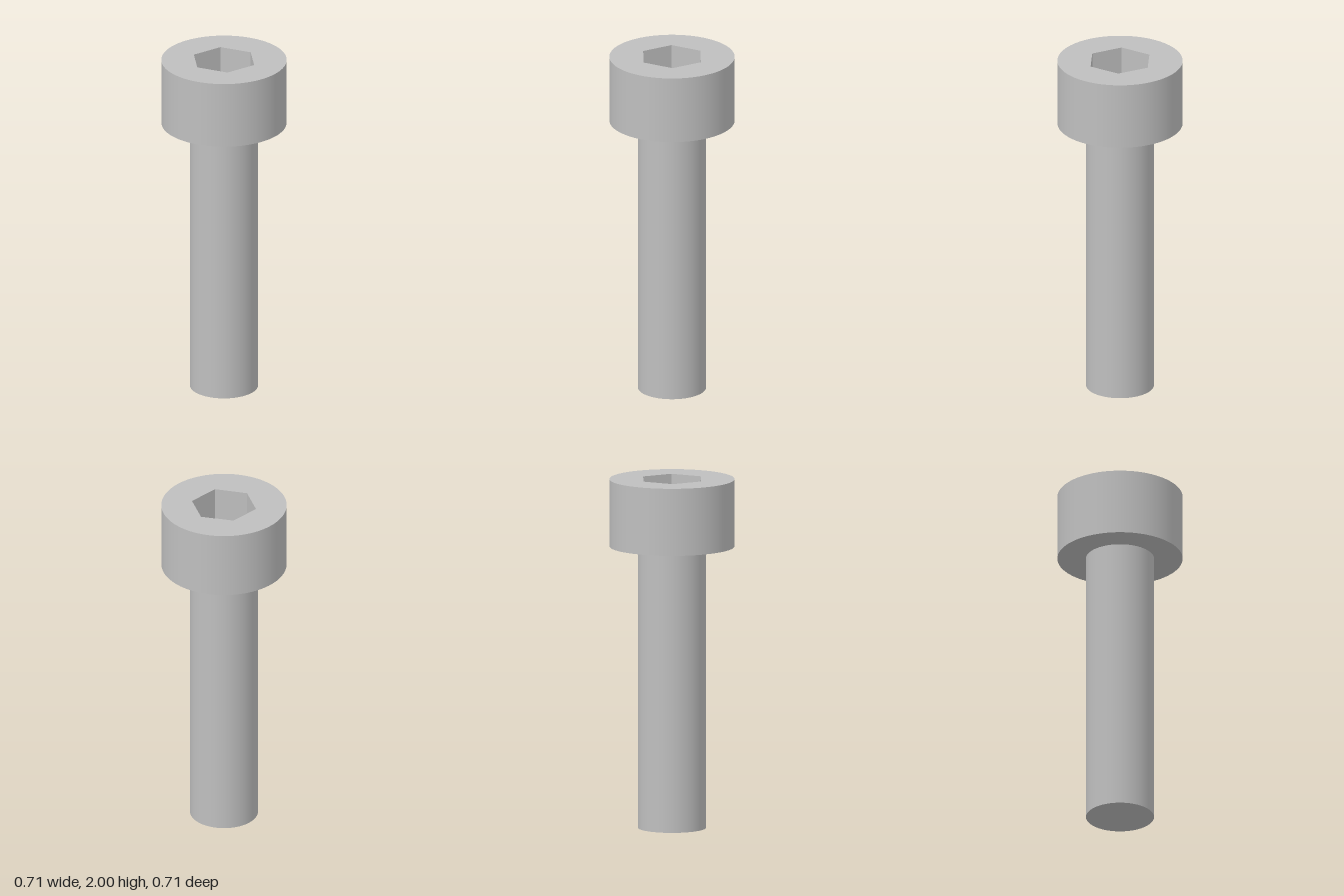
import * as THREE from 'three';

const HEIGHT = 2, HEAD_BASE = 1.615, HEAD_R = 0.355, SHANK_R = 0.193;
const HEX_R = 0.187, SOCKET_DEPTH = 0.19, SIDES = 96;

export function createModel() {
  const group = new THREE.Group();
  const steel = new THREE.MeshStandardMaterial({ color: 0xbfbfbf });
  steel.name = 'steel grey';

  const add = (parent, name, geometry, y) => {
    const mesh = new THREE.Mesh(geometry, steel);
    mesh.name = name;
    mesh.position.y = y;
    parent.add(mesh);
  };
  const part = (name) => {
    const g = new THREE.Group();
    g.name = name;
    group.add(g);
    return g;
  };
  const up = (geometry) => geometry.rotateX(-Math.PI / 2);
  const down = (geometry) => geometry.rotateX(Math.PI / 2);
  const wall = (r, h) => new THREE.CylinderGeometry(r, r, h, SIDES, 1, true);

  // Shank: plain rod with a flat end
  const shank = part('shank');
  add(shank, 'shankWall', wall(SHANK_R, HEAD_BASE), HEAD_BASE / 2);
  add(shank, 'shankEnd', down(new THREE.CircleGeometry(SHANK_R, SIDES)), 0);

  // Head: cylinder wall, underside ring and top face with a hexagonal opening
  const head = part('head');
  add(head, 'headWall', wall(HEAD_R, HEIGHT - HEAD_BASE), (HEIGHT + HEAD_BASE) / 2);
  add(head, 'headUnderside', down(new THREE.RingGeometry(SHANK_R, HEAD_R, SIDES)), HEAD_BASE);
  const face = new THREE.Shape().absarc(0, 0, HEAD_R, 0, Math.PI * 2);
  const hexPoints = Array.from({ length: 6 }, (_, i) =>
    new THREE.Vector2(HEX_R * Math.cos(i * Math.PI / 3), HEX_R * Math.sin(i * Math.PI / 3)));
  face.holes.push(new THREE.Path(hexPoints));
  add(head, 'headTop', up(new THREE.ShapeGeometry(face, SIDES)), HEIGHT);

  // Hex socket: six inward-facing flats and a floor
  const socket = part('hexSocket');
  for (let i = 0; i < 6; i++) {
    const a = (i + 0.5) * Math.PI / 3;
    const apothem = HEX_R * Math.cos(Math.PI / 6);
    const flat = new THREE.PlaneGeometry(HEX_R, SOCKET_DEPTH)
      .translate(0, 0, -apothem)
      .rotateY(a + Math.PI / 2);
    add(socket, 'socketFlat', flat, HEIGHT - SOCKET_DEPTH / 2);
  }
  add(socket, 'socketFloor', up(new THREE.CircleGeometry(HEX_R, 6)), HEIGHT - SOCKET_DEPTH);

  return group;
}
